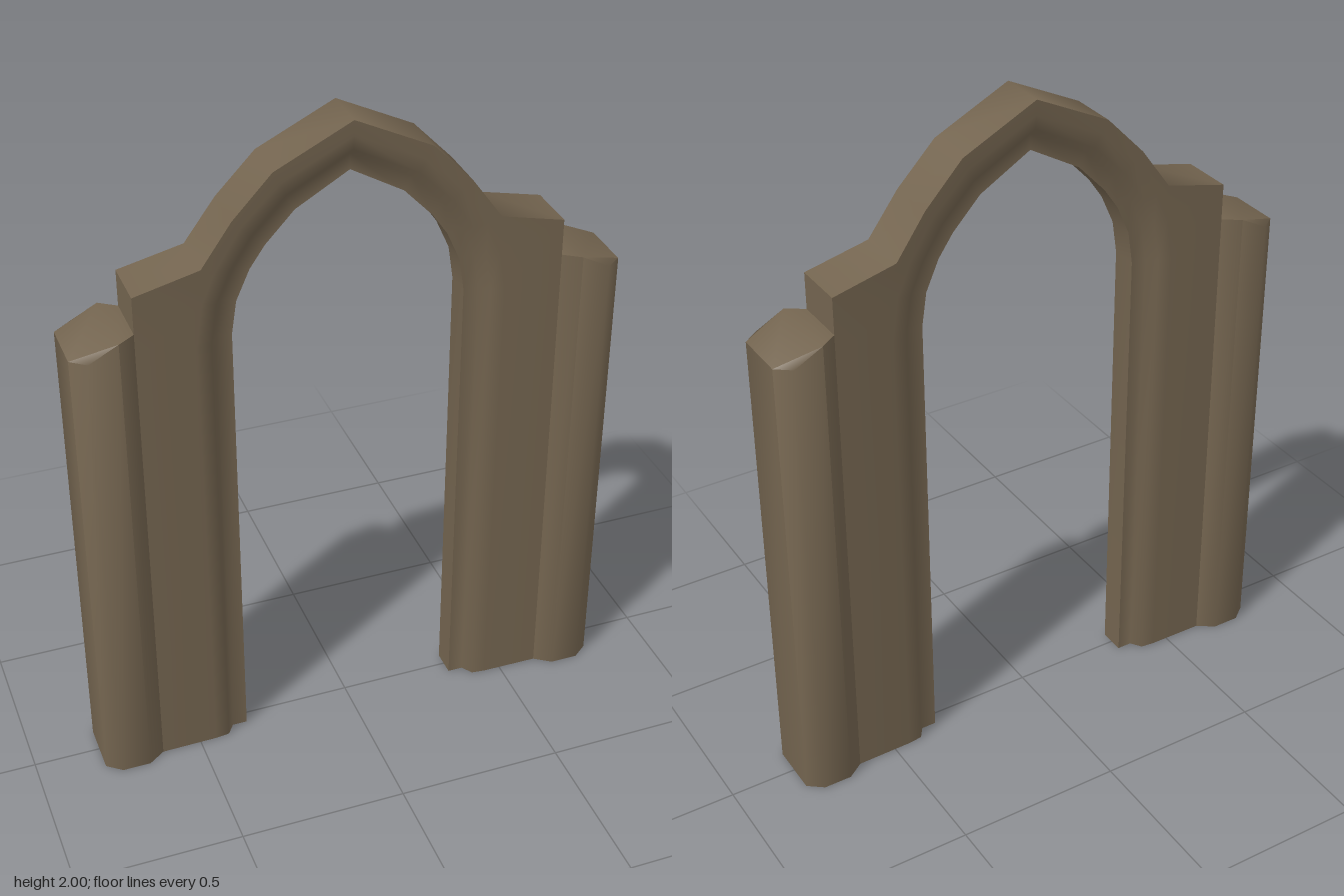
import * as THREE from 'three';
import { toCreasedNormals } from 'three/addons/utils/BufferGeometryUtils.js';

const stone = new THREE.MeshStandardMaterial({ color: 0x73644f });

// Skin a row of closed rings; capTris lists the triangles closing both ends
function loft(rings, capTris) {
  const n = rings[0].length;
  const pos = [];
  const tri = (a, b, c) => pos.push(...a, ...b, ...c);
  for (let s = 0; s < rings.length - 1; s++) {
    for (let i = 0; i < n; i++) {
      const j = (i + 1) % n;
      const [p, q] = [rings[s], rings[s + 1]];
      tri(p[i], p[j], q[j]);
      tri(p[i], q[j], q[i]);
    }
  }
  const first = rings[0], last = rings[rings.length - 1];
  for (const [a, b, c] of capTris) {
    tri(first[c], first[b], first[a]);
    tri(last[a], last[b], last[c]);
  }
  const geo = new THREE.BufferGeometry();
  geo.setAttribute('position', new THREE.Float32BufferAttribute(pos, 3));
  return toCreasedNormals(geo, 1.05);
}

// Stations from the right foot to the apex: inner x, y, outer x, y, half depth
const half = [
  [0.34, 0, 0.62, 0, 0.08],
  [0.34, 1.41, 0.62, 1.41, 0.08],
  [0.325, 1.51, 0.62, 1.60, 0.08],
  [0.285, 1.60, 0.43, 1.645, 0.078],
  [0.24, 1.665, 0.34, 1.77, 0.075],
  [0.155, 1.755, 0.225, 1.89, 0.073],
  [0, 1.845, 0, 2, 0.072],
];

// Moulded section: recessed inner strip, step, then the wall face
function archRing([ix, iy, ox, oy, d]) {
  const len = Math.hypot(ox - ix, oy - iy);
  const section = [[0, 0.04], [0.045, 0.04], [0.068, d - 0.007], [0.11, d - 0.002], [len, d]];
  const front = section.map(([t, z]) => [ix + (ox - ix) * t / len, iy + (oy - iy) * t / len, z]);
  const back = front.map(([x, y, z]) => [x, y, -z]).reverse();
  return [...front, ...back];
}

function createArch() {
  const mirrored = half.slice(0, -1).reverse().map(([ix, iy, ox, oy, d]) => [-ix, iy, -ox, oy, d]);
  const caps = [];
  for (let i = 0; i < 4; i++) caps.push([i, i + 1, 8 - i], [i, 8 - i, 9 - i]);
  return loft([...half, ...mirrored].map(archRing), caps);
}

// Eight-sided buttress with a top that falls away outward
function createPillar() {
  const front = [[0.62, 1.49, 0.08], [0.67, 1.49, 0.115], [0.755, 1.445, 0.115], [0.8, 1.445, 0.08]];
  const top = [...front, ...front.map(([x, y, z]) => [x, y, -z]).reverse()];
  const bottom = top.map(([x, , z]) => [x, 0, z]);
  const caps = [[0, 1, 6], [0, 6, 7], [1, 3, 4], [1, 4, 6], [1, 2, 3], [4, 5, 6]];
  return loft([bottom, top], caps);
}

export function createModel() {
  const group = new THREE.Group();
  group.name = 'stoneArchway';

  const arch = new THREE.Mesh(createArch(), stone);
  arch.name = 'pointedArch';
  group.add(arch);

  const pillarGeo = createPillar();
  for (const side of ['left', 'right']) {
    const pillar = new THREE.Mesh(pillarGeo, stone);
    pillar.name = side + 'Pillar';
    if (side === 'right') pillar.rotation.y = Math.PI;
    group.add(pillar);
  }
  return group;
}
